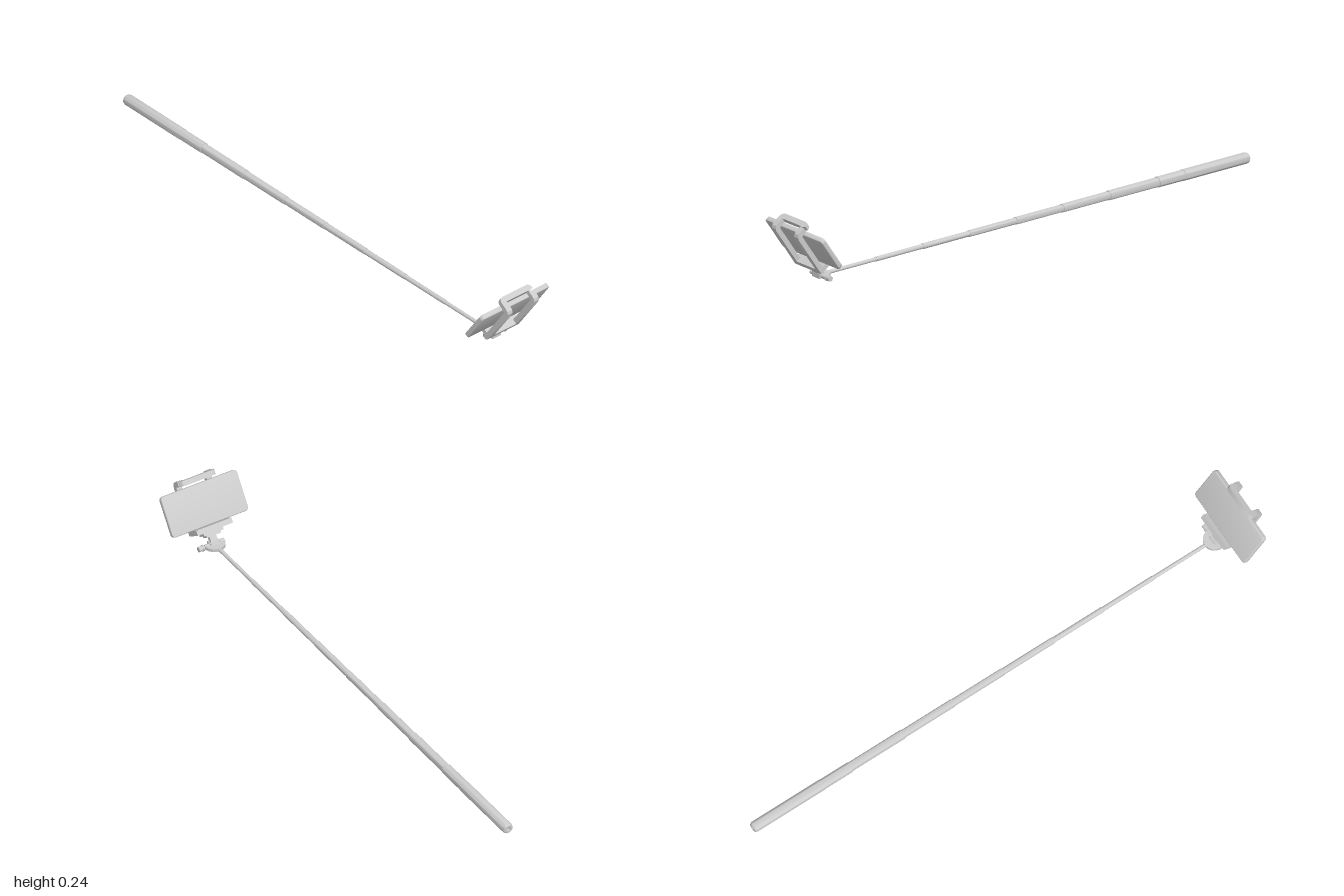
import * as THREE from 'three';
import { toCreasedNormals } from 'three/addons/utils/BufferGeometryUtils.js';

const material = new THREE.MeshStandardMaterial({ color: 0xcccccc });

function add(parent, name, geometry, x = 0, y = 0, z = 0) {
  const mesh = new THREE.Mesh(toCreasedNormals(geometry, 0.6), material);
  mesh.name = name;
  mesh.position.set(x, y, z);
  parent.add(mesh);
  return mesh;
}

const box = (w, h, d) => new THREE.BoxGeometry(w, h, d);
const rodX = (r, length, sides = 24) => new THREE.CylinderGeometry(r, r, length, sides).rotateZ(Math.PI / 2);
const extrude = (shape, depth) =>
  new THREE.ExtrudeGeometry(shape, { depth, bevelEnabled: false, curveSegments: 10 });

function roundedRect(w, h, r) {
  const s = new THREE.Shape();
  s.absarc(w / 2 - r, h / 2 - r, r, 0, Math.PI / 2);
  s.absarc(-w / 2 + r, h / 2 - r, r, Math.PI / 2, Math.PI);
  s.absarc(-w / 2 + r, -h / 2 + r, r, Math.PI, Math.PI * 1.5);
  s.absarc(w / 2 - r, -h / 2 + r, r, Math.PI * 1.5, Math.PI * 2);
  s.closePath();
  return s;
}

// Handle and telescoping tubes, one stepped profile turned around the z axis
function addPole(root) {
  const points = [[0, -0.988], [0.008, -0.988], [0.008, -1], [0.014, -1], [0.0175, -0.997], [0.0195, -0.99]];
  const steps = [
    [0.0195, -0.72], [0.0185, -0.61], [0.0165, -0.4], [0.0145, -0.2], [0.0128, 0],
    [0.0112, 0.2], [0.0096, 0.4], [0.008, 0.6], [0.0066, 0.83],
  ];
  steps.forEach(([r, end], i) => {
    if (i > 0) points.push([r, steps[i - 1][1]]);
    points.push([r, end]);
  });
  points.push([0, 0.83]);
  const profile = points.map(([r, y]) => new THREE.Vector2(r, y));
  add(root, 'telescopicPole', new THREE.LatheGeometry(profile, 32).rotateX(Math.PI / 2), 0, 0.0195, 0);
}

// Half-round pivot base with bolt and thumbscrew
function addPivot(root) {
  const pivot = new THREE.Group();
  pivot.name = 'pivot';
  pivot.position.set(0, 0.021, 0.845);
  root.add(pivot);

  const half = new THREE.Shape();
  half.absarc(0, 0, 0.038, 0, Math.PI);
  half.closePath();
  add(pivot, 'halfRoundBase', extrude(half, 0.012).rotateX(-Math.PI / 2), 0, -0.006, 0);
  add(pivot, 'pivotBolt', rodX(0.0085, 0.076));
  add(pivot, 'pivotBlock', box(0.038, 0.02, 0.022), 0, 0.001, 0.002);
  add(pivot, 'screwShaft', rodX(0.005, 0.01), 0.041, 0, 0);
  add(pivot, 'thumbscrewCollar', rodX(0.011, 0.006), 0.044, 0, 0);
  add(pivot, 'thumbscrewKnob', rodX(0.0095, 0.016, 12), 0.054, 0, 0);
}

// Clamp and phone, built upright and then leaned forward
function addHolder(root) {
  const holder = new THREE.Group();
  holder.name = 'phoneHolder';
  holder.position.set(0, 0.05, 0.89);
  holder.rotation.x = 0.608;
  root.add(holder);

  const T = 0.018, W = 0.021, H = 0.19, HALF = 0.069, REACH = 0.065, SPLIT = 0.04;

  // Side straps bend over at the top
  const strap = new THREE.Shape();
  strap.moveTo(0, 0);
  strap.lineTo(T, 0);
  strap.lineTo(T, H - T - 0.006);
  strap.quadraticCurveTo(T, H - T, T + 0.006, H - T);
  strap.lineTo(SPLIT, H - T);
  strap.lineTo(SPLIT, H);
  strap.lineTo(0.02, H);
  strap.absarc(0.02, H - 0.02, 0.02, Math.PI / 2, Math.PI);
  strap.closePath();
  for (const x of [-HALF, HALF - W]) {
    add(holder, 'clampStrap', extrude(strap, W).rotateY(Math.PI / 2), x, 0, 0);
  }

  // Upper jaw joins the straps with rounded corners
  const jaw = new THREE.Shape();
  const R = 0.018, inner = HALF - W;
  jaw.moveTo(HALF, SPLIT);
  jaw.absarc(HALF - R, REACH - R, R, 0, Math.PI / 2);
  jaw.absarc(-HALF + R, REACH - R, R, Math.PI / 2, Math.PI);
  jaw.lineTo(-HALF, SPLIT);
  jaw.lineTo(-inner, SPLIT);
  jaw.lineTo(-inner, REACH - W);
  jaw.lineTo(inner, REACH - W);
  jaw.lineTo(inner, SPLIT);
  jaw.closePath();
  add(holder, 'upperJaw', extrude(jaw, T).rotateX(-Math.PI / 2), 0, H - T, 0);

  // Lower jaw and its small grip pads
  add(holder, 'lowerJaw', box(2 * HALF, T, REACH), 0, T / 2, -REACH / 2);
  for (const x of [-0.025, 0.025]) {
    add(holder, 'gripPad', new THREE.CylinderGeometry(0.008, 0.008, 0.002, 20), x, T + 0.0005, -0.026);
  }

  // Phone with softened edges
  const b = 0.003;
  const body = new THREE.ExtrudeGeometry(roundedRect(0.298 - 2 * b, 0.143 - 2 * b, 0.009), {
    depth: 0.0175 - 2 * b, bevelThickness: b, bevelSize: b, bevelSegments: 3, curveSegments: 8,
  });
  add(holder, 'phone', body, 0, 0.0905, -0.0475 + b);

  // Mounting plates and hinge neck under the clamp
  add(holder, 'mountPlate', box(0.076, 0.012, 0.036), 0, -0.006, -0.028);
  add(holder, 'mountStep', box(0.056, 0.008, 0.03), 0, -0.016, -0.026);
  add(holder, 'hingeNeck', box(0.026, 0.034, 0.014), 0, -0.034, -0.022);
  add(holder, 'hingeBarrel', rodX(0.012, 0.03), 0, -0.05, -0.022);
}

export function createModel() {
  const root = new THREE.Group();
  root.name = 'selfieStick';
  addPole(root);
  addPivot(root);
  addHolder(root);
  return root;
}
